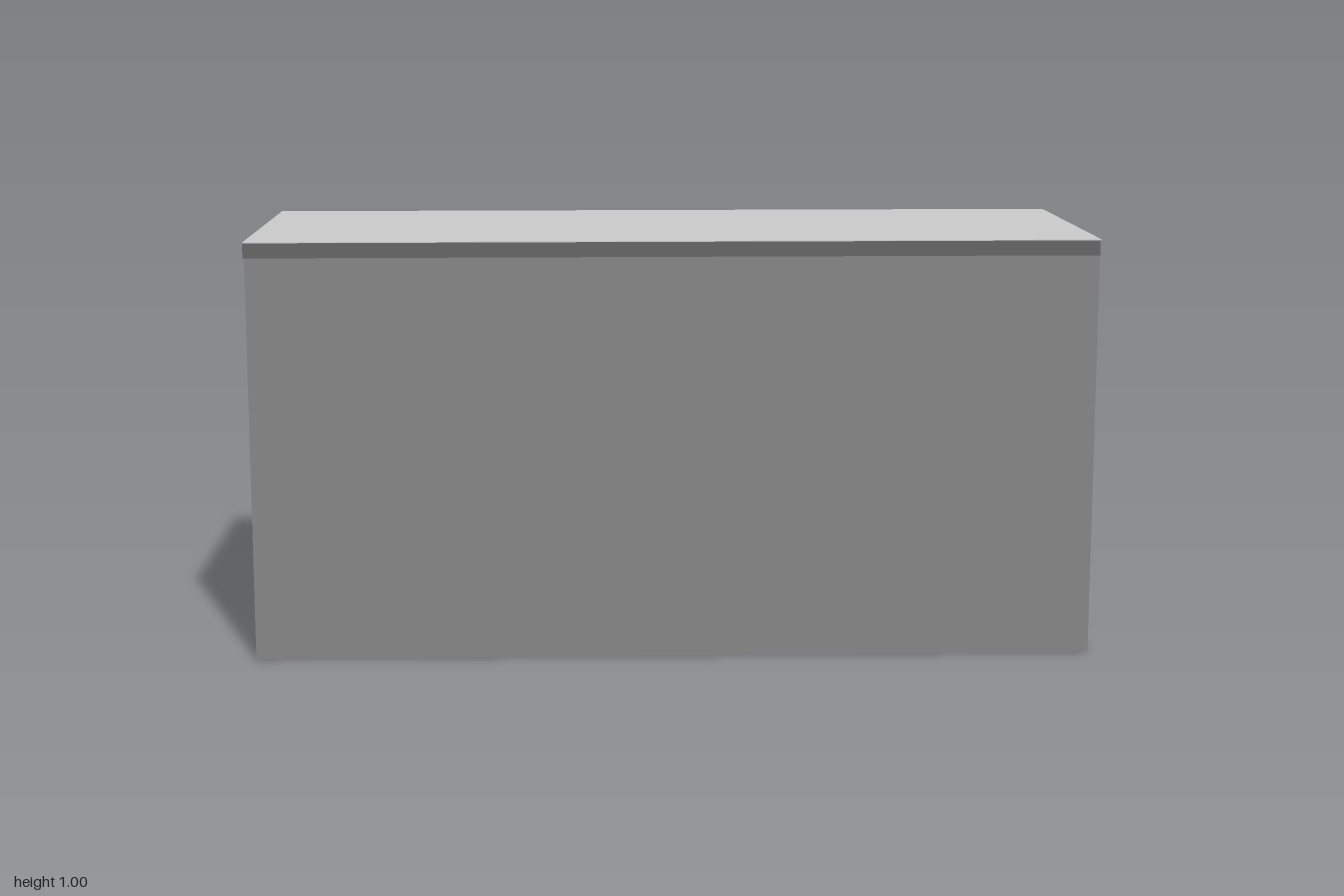
import * as THREE from 'three';

const light = new THREE.MeshStandardMaterial({ color: 0xcccccc });
const grey = new THREE.MeshStandardMaterial({ color: 0x878787 });
const trim = new THREE.MeshStandardMaterial({ color: 0x676767 });
const dark = new THREE.MeshStandardMaterial({ color: 0x424242 });

// Box given by its minimum and maximum on each axis
function block(name, [x0, x1], [y0, y1], [z0, z1], material) {
  const mesh = new THREE.Mesh(new THREE.BoxGeometry(x1 - x0, y1 - y0, z1 - z0), material);
  mesh.position.set((x0 + x1) / 2, (y0 + y1) / 2, (z0 + z1) / 2);
  mesh.name = name;
  return mesh;
}

export function createModel() {
  const model = new THREE.Group();
  model.name = 'box';
  const X = 0.997, Z = 0.38, H = 0.997, lidBottom = 0.96, t = 0.003;
  const lidTop = H - 0.002;

  // Body with a light top sheet and a fine seam across the back
  model.add(block('body', [-X, X], [0, lidTop], [-Z, Z], grey));
  model.add(block('topSheet', [-X - t, X + t], [lidTop, H], [-Z, Z + t], light));
  model.add(block('backSeam', [-0.85, 0.92], [0.273, 0.277], [-Z - 0.001, -Z + 0.01], dark));

  // Thin trim along the lid edge, front and one end
  const lid = [lidBottom, lidTop];
  model.add(block('frontLidTrim', [-X - t, X], lid, [Z - 0.01, Z + t], trim));
  model.add(block('endLidTrim', [-X - t, -X + 0.01], lid, [-Z, Z - 0.01], trim));

  // Dark upright strips: one on the end, one on the back, one wrapping the corner
  const up = [0.002, lidBottom];
  model.add(block('endStrip', [X - 0.01, X + t], up, [0.29, 0.35], dark));
  model.add(block('backStrip', [-0.94, -0.85], up, [-Z - t, -Z + 0.01], dark));
  model.add(block('cornerPost', [0.92, X + t], up, [-Z - t, -0.325], dark));
  return model;
}
